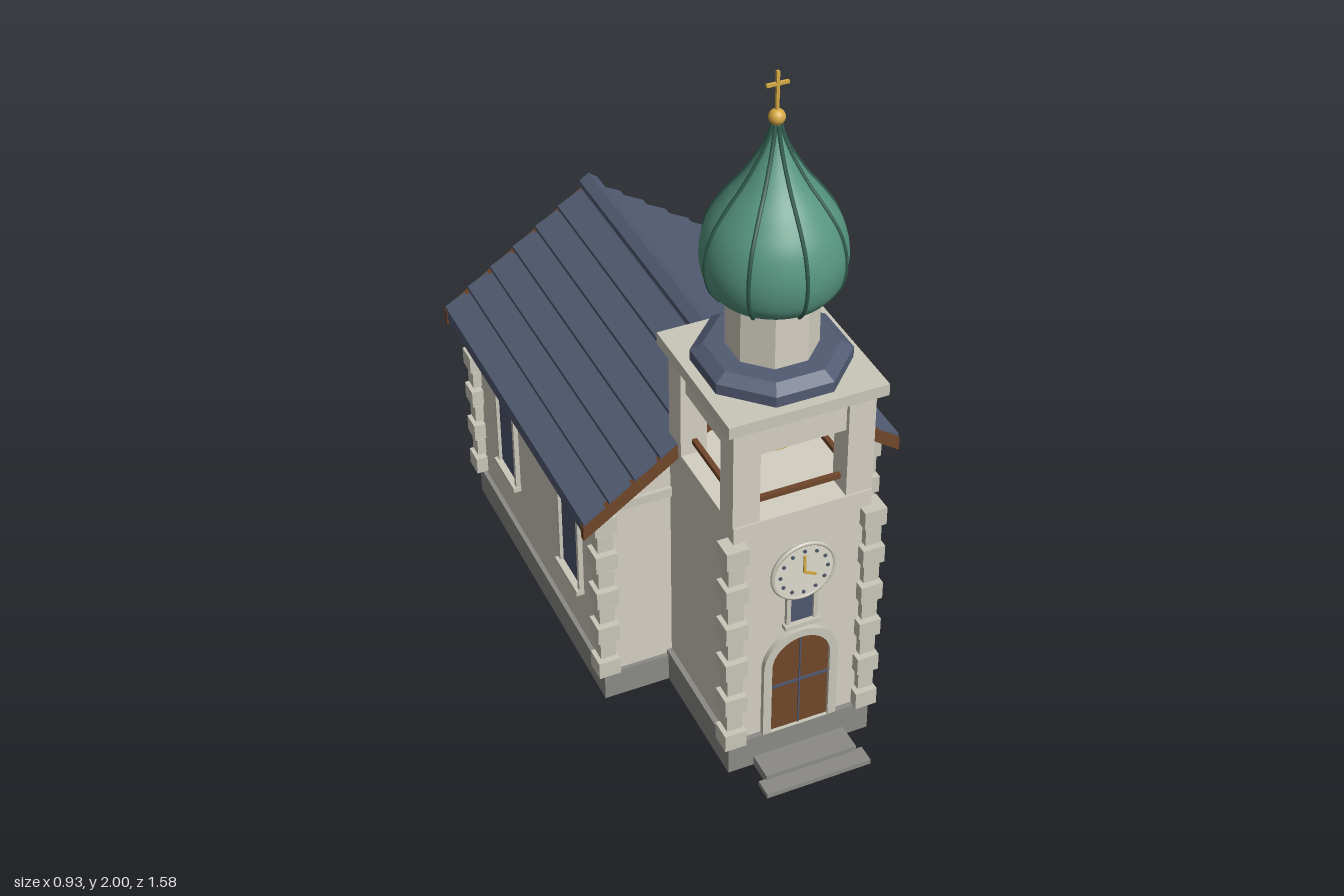
import * as THREE from 'three';

const mat = (name, color) => Object.assign(new THREE.MeshStandardMaterial({ color }), { name });

export function createModel() {
  const M = {
    wall: mat('plaster', 0xd4d0c2), trim: mat('pale stone', 0xcac7ba), stone: mat('plinth stone', 0x8b8a86),
    roof: mat('slate', 0x525b73), glass: mat('window glass', 0x4e586f), wood: mat('brown wood', 0x70462a),
    copper: mat('green copper', 0x569580), rib: mat('dark copper', 0x2f5b4d), gold: mat('gold', 0xd6a944),
    face: mat('clock cream', 0xdedacd),
  };
  const root = new THREE.Group();
  const TZ = 0.445; // tower axis

  const add = (name, geo, m, parent = root, x = 0, y = 0, z = 0) => {
    const mesh = new THREE.Mesh(geo, m);
    mesh.name = name;
    mesh.position.set(x, y, z);
    parent.add(mesh);
    return mesh;
  };
  // box given by its limits on each axis
  const box = (name, m, x0, x1, y0, y1, z0, z1, parent = root) =>
    add(name, new THREE.BoxGeometry(x1 - x0, y1 - y0, z1 - z0), m, parent, (x0 + x1) / 2, (y0 + y1) / 2, (z0 + z1) / 2);
  const group = (name, x = 0, y = 0, z = 0, ry = 0) => {
    const g = new THREE.Group();
    g.name = name;
    g.position.set(x, y, z);
    g.rotation.y = ry;
    root.add(g);
    return g;
  };
  const poly = pts => new THREE.Shape(pts.map(p => new THREE.Vector2(...p)));
  const extrude = (shape, depth) => new THREE.ExtrudeGeometry(shape, { depth, bevelEnabled: false, curveSegments: 20 });
  const arch = (r, y0, top) => {
    const s = new THREE.Shape();
    s.moveTo(-r, y0);
    s.lineTo(r, y0);
    s.lineTo(r, top - r);
    s.absarc(0, top - r, r, 0, Math.PI, false);
    s.lineTo(-r, y0);
    return s;
  };
  const archFrame = (r, y0, top, w) => {
    const s = arch(r + w, y0, top + w);
    s.holes.push(arch(r, y0 + 0.0005, top));
    return s;
  };
  const octagon = (flatTop, flatBottom, h) => {
    const k = 1 / Math.cos(Math.PI / 8);
    const g = new THREE.CylinderGeometry(flatTop * k, flatBottom * k, h, 8).rotateY(Math.PI / 8).toNonIndexed();
    g.computeVertexNormals();
    return g;
  };

  // plinths and steps
  box('navePlinth', M.stone, -0.403, 0.403, 0, 0.088, -0.743, 0.262);
  box('towerPlinth', M.stone, -0.21, 0.21, 0, 0.1, 0.2, 0.66);
  box('upperStep', M.stone, -0.135, 0.135, 0, 0.03, 0.65, 0.74);
  box('lowerStep', M.stone, -0.155, 0.155, 0, 0.015, 0.735, 0.788);

  // nave walls with gables
  add('naveWalls', extrude(poly([[-0.39, 0.08], [0.39, 0.08], [0.39, 0.7], [0, 0.975], [-0.39, 0.7]]), 0.985), M.wall, root, 0, 0, -0.735);
  box('rearGableBand', M.trim, -0.39, 0.39, 0.66, 0.688, -0.747, -0.735);
  box('frontGableBand', M.trim, -0.39, 0.39, 0.66, 0.688, 0.25, 0.262);

  // stepped slate courses on both slopes
  const top = x => 1.005 - 0.7 * x;
  const courses = 6, pitch = 0.073, start = 0.027;
  const slope = [[0, top(0)]];
  for (let i = 0; i < courses; i++) {
    const a = start + i * pitch, b = a + pitch;
    slope.push([a, top(a) - 0.004], [b, top(b) + 0.008]);
  }
  const eave = start + courses * pitch;
  const under = [[eave, top(eave) - 0.03], [0, top(0) - 0.03]];
  for (const s of [1, -1]) {
    const pts = [...slope, ...under].map(([x, y]) => [x * s, y]);
    add('roofSlope', extrude(poly(pts), 1.085), M.roof, root, 0, 0, -0.783);
    // barge boards at both gable ends
    const board = poly([[0, top(0) - 0.004], [0.467, top(0.467) - 0.002], [0.467, top(0.467) - 0.046], [0, top(0) - 0.05]].map(([x, y]) => [x * s, y]));
    for (const z of [-0.788, 0.285]) add('bargeBoard', extrude(board, 0.02), M.wood, root, 0, 0, z);
  }
  add('ridgeCap', extrude(poly([[-0.028, 0.992], [0.028, 0.992], [0.028, 1.01], [0, 1.03], [-0.028, 1.01]]), 1.088), M.roof, root, 0, 0, -0.785);

  // side windows
  for (const s of [1, -1]) for (const z of [0.01, -0.485]) {
    const g = group('sideWindow', s * 0.39, 0, z, s * Math.PI / 2);
    add('windowGlass', extrude(arch(0.065, 0.255, 0.572), 0.004), M.glass, g);
    add('windowFrame', extrude(archFrame(0.065, 0.255, 0.572, 0.014), 0.014), M.trim, g);
    box('windowSill', M.trim, -0.082, 0.082, 0.244, 0.26, 0, 0.024, g);
  }

  // round window in the rear gable
  const oculus = group('roundWindow', 0, 0.8, -0.735, Math.PI);
  add('roundGlass', new THREE.CylinderGeometry(0.052, 0.052, 0.008, 32).rotateX(Math.PI / 2), M.glass, oculus);
  add('roundFrame', new THREE.TorusGeometry(0.056, 0.01, 8, 32), M.trim, oculus);

  // tower shaft
  box('towerWalls', M.wall, -0.195, 0.195, 0.09, 0.84, 0.25, 0.645);

  // alternating corner stones
  const quoins = (x, z, count) => {
    for (let i = 0; i < count; i++) {
      const w = i % 2 ? 0.045 : 0.063, y = 0.125 + i * 0.0637;
      for (const s of [1, -1]) box('cornerStone', M.trim, s * x - w / 2, s * x + w / 2, y - 0.027, y + 0.027, z - w / 2, z + w / 2);
    }
  };
  quoins(0.394, -0.738, 9);
  quoins(0.394, 0.249, 9);
  quoins(0.195, 0.643, 11);

  // door with strap and centre joint
  const front = group('towerFront', 0, 0, 0.645);
  add('doorLeaf', extrude(arch(0.085, 0.1, 0.417), 0.006), M.wood, front);
  add('doorFrame', extrude(archFrame(0.085, 0.1, 0.417, 0.024), 0.016), M.trim, front);
  box('doorStrap', M.glass, -0.083, 0.083, 0.254, 0.262, 0.004, 0.01, front);
  box('doorJoint', M.glass, -0.002, 0.002, 0.1, 0.415, 0.004, 0.009, front);

  // small window above the door
  box('smallGlass', M.glass, -0.034, 0.034, 0.47, 0.565, 0, 0.005, front);
  for (const s of [1, -1]) box('smallFrame', M.trim, s * 0.039 - 0.006, s * 0.039 + 0.006, 0.465, 0.565, 0, 0.012, front);
  box('smallSill', M.trim, -0.052, 0.052, 0.457, 0.47, 0, 0.02, front);

  // clock
  const clock = group('clock', 0, 0.643, 0.645);
  add('clockFace', new THREE.CylinderGeometry(0.088, 0.088, 0.028, 40).rotateX(Math.PI / 2), M.face, clock);
  add('clockRim', new THREE.TorusGeometry(0.088, 0.006, 8, 40), M.trim, clock, 0, 0, 0.01);
  for (let i = 0; i < 12; i++) {
    const a = i * Math.PI / 6;
    add('hourMark', new THREE.CylinderGeometry(0.005, 0.005, 0.004, 10).rotateX(Math.PI / 2), M.glass, clock, 0.068 * Math.cos(a), 0.068 * Math.sin(a), 0.0155);
  }
  for (const [len, a] of [[0.054, 0], [0.038, -2.05]]) {
    const hand = add('clockHand', new THREE.BoxGeometry(0.007, len, 0.004).translate(0, len / 2, 0), M.gold, clock, 0, 0, 0.017);
    hand.rotation.z = a;
  }

  // belfry: piers, lintels, rails
  for (const sx of [1, -1]) for (const sz of [1, -1])
    add('belfryPier', new THREE.BoxGeometry(0.075, 0.31, 0.075), M.wall, root, sx * 0.159, 0.993, TZ + sz * 0.159);
  for (let i = 0; i < 4; i++) {
    const side = group('belfrySide', 0, 0, TZ, i * Math.PI / 2);
    box('lintel', M.wall, -0.13, 0.13, 1.042, 1.148, 0.135, 0.183, side);
    box('rail', M.wood, -0.13, 0.13, 0.873, 0.887, 0.151, 0.165, side);
  }
  box('cornice', M.trim, -0.219, 0.219, 1.146, 1.18, TZ - 0.219, TZ + 0.219);

  // bell on its yoke
  box('bellYoke', M.wood, -0.14, 0.14, 1.06, 1.085, TZ - 0.014, TZ + 0.014);
  const bell = [[0, 1.03], [0.034, 1.02], [0.045, 0.97], [0.062, 0.938], [0.069, 0.938], [0.064, 0.956], [0.052, 0.985], [0.046, 1.025], [0.036, 1.05], [0, 1.06]];
  add('bell', new THREE.LatheGeometry(bell.map(p => new THREE.Vector2(...p)), 32), M.gold, root, 0, 0, TZ);
  add('bellClapper', new THREE.SphereGeometry(0.014, 12, 8), M.gold, root, 0, 0.95, TZ);

  // octagonal skirt roof and drum
  add('skirtEdge', octagon(0.19, 0.19, 0.03), M.roof, root, 0, 1.195, TZ);
  add('skirtSlope', octagon(0.16, 0.19, 0.022), M.roof, root, 0, 1.221, TZ);
  add('drum', octagon(0.11, 0.11, 0.18), M.wall, root, 0, 1.315, TZ);

  // onion dome with eight ribs
  const profile = new THREE.SplineCurve([[0.145, 1.397], [0.174, 1.44], [0.184, 1.51], [0.167, 1.585], [0.128, 1.65], [0.083, 1.71], [0.046, 1.77], [0.022, 1.82], [0.01, 1.86]]
    .map(p => new THREE.Vector2(...p))).getPoints(40);
  add('dome', new THREE.LatheGeometry([new THREE.Vector2(0, 1.397), ...profile.slice(1)], 48), M.copper, root, 0, 0, TZ);
  const ribPath = new THREE.CatmullRomCurve3(profile.filter((p, i) => i % 2 === 0).map(p => new THREE.Vector3(p.x, p.y, 0)));
  for (let i = 0; i < 8; i++)
    add('domeRib', new THREE.TubeGeometry(ribPath, 40, 0.0055, 6), M.rib, root, 0, 0, TZ).rotation.y = i * Math.PI / 4;

  // finial ball and cross
  add('finialBall', new THREE.SphereGeometry(0.021, 20, 14), M.gold, root, 0, 1.878, TZ);
  box('crossUpright', M.gold, -0.004, 0.004, 1.85, 2, TZ - 0.004, TZ + 0.004);
  box('crossArm', M.gold, -0.029, 0.029, 1.962, 1.97, TZ - 0.004, TZ + 0.004);
  return root;
}
